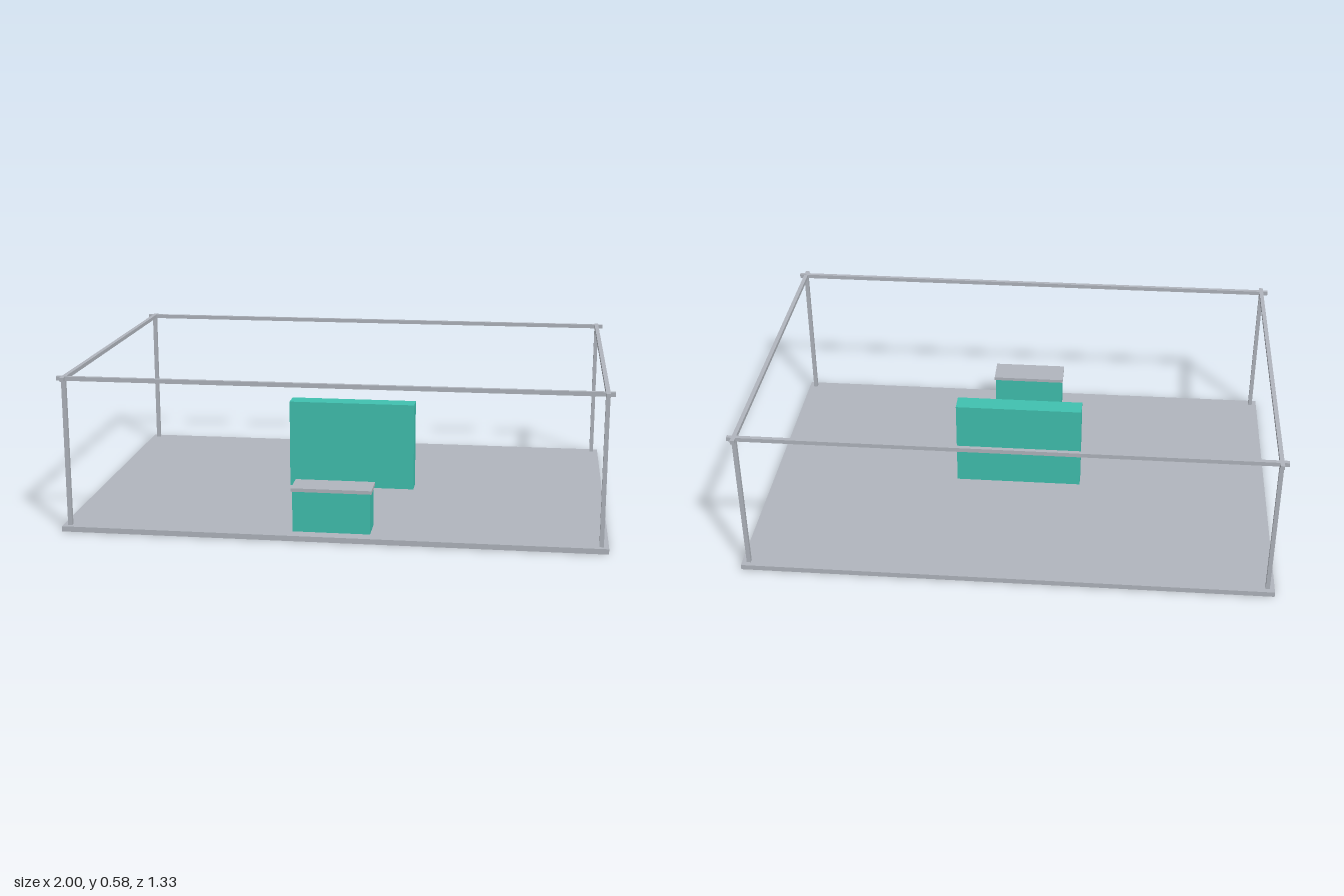
import * as THREE from 'three';

export function createModel() {
  const grey = new THREE.MeshStandardMaterial({ color: 0xb0b5bd });
  grey.name = 'light grey';
  const teal = new THREE.MeshStandardMaterial({ color: 0x40c0af });
  teal.name = 'teal';

  const model = new THREE.Group();
  model.name = 'exhibitionBooth';

  // Box given by its size, the height of its underside, and its centre in x and z
  function box(name, material, [w, h, d], bottom, x = 0, z = 0) {
    const mesh = new THREE.Mesh(new THREE.BoxGeometry(w, h, d), material);
    mesh.name = name;
    mesh.position.set(x, bottom + h / 2, z);
    model.add(mesh);
  }

  const floorTop = 0.02, frameTop = 0.584, bar = 0.0155;
  const postX = 0.974, postZ = 0.64;

  // Floor platform
  box('floor', grey, [2, floorTop, 1.334], 0);

  // Corner posts and top rails that cross at the corners
  for (const side of [-1, 1]) {
    for (const end of [-1, 1]) {
      box('cornerPost', grey, [bar, frameTop - floorTop - 0.004, bar], floorTop, side * postX, end * postZ);
    }
    box('longRail', grey, [2, bar, bar], frameTop - bar, 0, side * postZ);
    box('sideRail', grey, [bar, bar - 0.001, 1.334], frameTop - bar + 0.0005, side * postX, 0);
  }

  // Display wall in the middle
  box('displayWall', teal, [0.5, 0.367 - floorTop, 0.074], floorTop);

  // Reception counter near the front edge
  box('counterBody', teal, [0.286, 0.173 - floorTop, 0.108], floorTop, 0, 0.561);
  box('counterTop', grey, [0.296, 0.013, 0.118], 0.173, 0, 0.561);

  return model;
}
